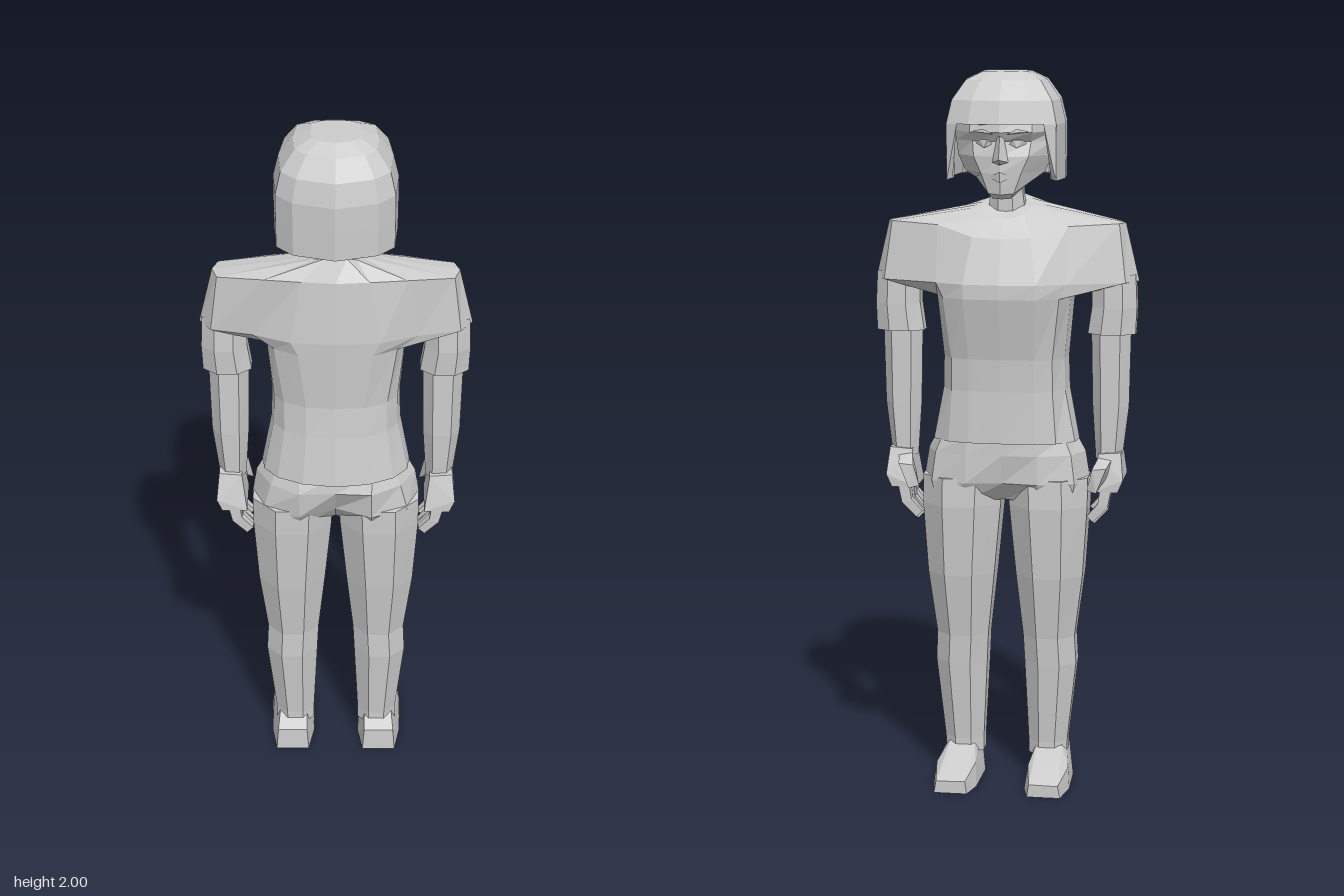
import * as THREE from 'three';
import { ConvexGeometry } from 'three/addons/geometries/ConvexGeometry.js';

const grey = new THREE.MeshStandardMaterial({ color: 0xcccccc, flatShading: true, side: THREE.DoubleSide });
grey.name = 'plain grey';

function addMesh(parent, name, geometry) {
  const mesh = new THREE.Mesh(geometry, grey);
  mesh.name = name;
  parent.add(mesh);
}

// Skin between cross-sections listed bottom to top; each is a loop of [x, y, z]
function loft(rings, { closed = true, bottom = false, top = false } = {}) {
  const n = rings[0].length, pos = rings.flat(2), idx = [];
  for (let r = 0; r < rings.length - 1; r++) {
    for (let i = 0; i < (closed ? n : n - 1); i++) {
      const j = (i + 1) % n, a = r * n, b = a + n;
      idx.push(a + j, a + i, b + i, a + j, b + i, b + j);
    }
  }
  const cap = (r, flip) => {
    const c = pos.length / 3;
    for (let k = 0; k < 3; k++) pos.push(rings[r].reduce((s, p) => s + p[k], 0) / n);
    for (let i = 0; i < n; i++) {
      const a = r * n + i, b = r * n + (i + 1) % n;
      idx.push(c, flip ? a : b, flip ? b : a);
    }
  };
  if (bottom) cap(0, true);
  if (top) cap(rings.length - 1, false);
  const g = new THREE.BufferGeometry();
  g.setAttribute('position', new THREE.Float32BufferAttribute(pos, 3));
  g.setIndex(idx);
  const flat = g.toNonIndexed();
  flat.computeVertexNormals();
  return flat;
}

// Half outline from face side to back, completed by mirroring in x
const mirror = half => [...half, ...half.slice(1, -1).reverse().map(([x, y, z]) => [-x, y, z])];
const level = (y, half) => mirror(half.map(([x, z]) => [x, y, z]));

// Eight-sided limb section with flat sides
function oval(y, cx, rx, cz, rz, n = 8) {
  const k = 1 / Math.cos(Math.PI / n);
  return Array.from({ length: n }, (_, i) => {
    const a = (i + 0.5) / n * Math.PI * 2 - Math.PI / 2;
    return [cx + Math.cos(a) * rx * k, y, cz + Math.sin(a) * rz * k];
  });
}
const hull = (pts, s = 1) => new ConvexGeometry(pts.map(([x, y, z]) => new THREE.Vector3(x * s, y, z)));

function addShirt(g) {
  const rings = [
    level(0.985, [[0, -.106], [.09, -.103], [.15, -.085], [.198, -.04], [.205, .015], [.198, .07], [.16, .115], [.09, .148], [0, .16]]),
    level(1.13, [[0, -.107], [.09, -.1], [.14, -.085], [.17, -.04], [.178, .015], [.17, .06], [.14, .1], [.08, .13], [0, .137]]),
    level(1.22, [[0, -.113], [.09, -.107], [.14, -.09], [.168, -.04], [.175, .015], [.168, .06], [.14, .095], [.08, .122], [0, .128]]),
    level(1.39, [[0, -.15], [.1, -.143], [.16, -.11], [.185, -.05], [.19, .015], [.185, .06], [.165, .095], [.1, .13], [0, .138]]),
    level(1.43, [[0, -.149], [.1, -.143], [.18, -.105], [.335, -.045], [.368, .015], [.335, .065], [.22, .09], [.12, .13], [0, .14]]),
    mirror([[0, 1.55, -.105], [.08, 1.555, -.1], [.18, 1.585, -.07], [.315, 1.59, -.025], [.33, 1.59, .015], [.315, 1.59, .06],
      [.19, 1.605, .1], [.09, 1.61, .12], [0, 1.61, .128]]),
    mirror([[0, 1.6, -.065], [.03, 1.605, -.06], [.055, 1.615, -.04], [.07, 1.63, -.01], [.075, 1.635, .01], [.07, 1.64, .04],
      [.055, 1.65, .07], [.03, 1.663, .09], [0, 1.667, .1]]),
  ];
  addMesh(g, 'shirt', loft(rings, { bottom: true, top: true }));
}

function addTrousers(g) {
  addMesh(g, 'hips', loft([
    level(.815, [[0, -.035], [.1, -.07], [.19, -.06], [.215, .02], [.19, .09], [.1, .11], [0, .055]]),
    level(.87, [[0, -.085], [.1, -.1], [.2, -.07], [.235, .02], [.2, .1], [.1, .143], [0, .1]]),
    level(.95, [[0, -.1], [.1, -.098], [.19, -.065], [.222, .02], [.18, .1], [.1, .15], [0, .145]]),
    level(1.0, [[0, -.1], [.1, -.095], [.17, -.06], [.195, .02], [.16, .09], [.1, .13], [0, .14]]),
  ], { bottom: true, top: true }));
  for (const s of [1, -1]) {
    addMesh(g, s > 0 ? 'leftLeg' : 'rightLeg', loft([
      oval(.07, s * .12, .055, .025, .055), oval(.11, s * .12, .055, .025, .055),
      oval(.34, s * .127, .073, .026, .075), oval(.42, s * .123, .073, .022, .077),
      oval(.6, s * .125, .094, .018, .1), oval(.8, s * .122, .11, .018, .113),
      oval(.88, s * .12, .112, .02, .112),
    ], { bottom: true, top: true }));
  }
}

function addFoot(g, s) {
  addMesh(g, s > 0 ? 'leftShoe' : 'rightShoe', hull([
    // sole
    [.08, 0, .115], [.175, 0, .115], [.065, 0, .03], [.19, 0, .03], [.068, 0, -.12], [.194, 0, -.1], [.085, 0, -.19], [.178, 0, -.19],
    // upper
    [.085, .07, .112], [.17, .07, .112], [.075, .06, -.09], [.188, .055, -.08], [.09, .036, -.19], [.172, .034, -.19],
    [.085, .1, .06], [.165, .1, .06], [.09, .1, -.01], [.16, .1, -.01], [.1, .065, -.11], [.155, .065, -.11],
  ], s));
}

function addArm(g, s) {
  const arm = new THREE.Group();
  arm.name = s > 0 ? 'leftArm' : 'rightArm';
  g.add(arm);
  addMesh(arm, 'sleeve', loft([
    oval(1.285, s * .295, .066, .008, .052), oval(1.36, s * .302, .062, .01, .054), oval(1.45, s * .3, .06, .01, .05),
  ], { bottom: true }));
  addMesh(arm, 'forearm', loft([
    oval(.93, s * .288, .032, .01, .032, 6), oval(1.08, s * .292, .044, .012, .037, 6), oval(1.3, s * .292, .048, .01, .036, 6),
  ], { bottom: true, top: true }));
  addMesh(arm, 'palm', hull([
    [.262, .95, -.03], [.325, .955, -.03], [.262, .95, .055], [.325, .955, .055],
    [.248, .845, -.05], [.318, .845, -.05], [.248, .845, .078], [.318, .845, .078],
    [.333, .88, -.052], [.333, .88, .078],
  ], s));
  // Four curled fingers
  for (let i = 0; i < 4; i++) {
    const z = -.033 + i * .032, d = .0135, drop = [0.01, 0, .004, .018][i];
    addMesh(arm, 'finger', hull([-d, d].flatMap(o => [[.27, .86, z + o], [.302, .86, z + o], [.262, .795 + drop, z + o], [.29, .79 + drop, z + o]]), s));
    addMesh(arm, 'fingertip', hull([-d, d].flatMap(o => [[.262, .8 + drop, z + o], [.29, .79 + drop, z + o], [.232, .765 + drop, z + o * .7], [.25, .748 + drop, z + o * .7]]), s));
  }
  addMesh(arm, 'thumb', hull([
    [.262, .94, -.03], [.3, .935, -.03], [.25, .89, -.035], [.29, .89, -.035],
    [.25, .915, -.085], [.29, .92, -.09], [.235, .855, -.075], [.262, .85, -.09],
  ], s));
}

function addHead(g) {
  addMesh(g, 'neck', loft([oval(1.58, 0, .055, .03, .05), oval(1.67, 0, .045, .025, .046), oval(1.76, 0, .05, .02, .048)], {}));
  addMesh(g, 'face', loft([
    mirror([[0, 1.658, -.088], [.025, 1.66, -.083], [.05, 1.695, -.03], [.05, 1.71, .05], [0, 1.71, .06]]),
    mirror([[0, 1.672, -.114], [.035, 1.675, -.102], [.08, 1.712, -.02], [.08, 1.725, .06], [0, 1.725, .09]]),
    level(1.73, [[0, -.12], [.055, -.102], [.11, -.02], [.1, .07], [0, .12]]),
    level(1.775, [[0, -.118], [.075, -.1], [.13, -.02], [.11, .08], [0, .14]]),
    level(1.815, [[0, -.11], [.08, -.085], [.135, -.02], [.12, .08], [0, .15]]),
    level(1.84, [[0, -.125], [.085, -.105], [.137, -.02], [.12, .08], [0, .15]]),
    level(1.9, [[0, -.115], [.085, -.09], [.13, -.02], [.11, .08], [0, .14]]),
  ], { bottom: true, top: true }));
  addMesh(g, 'nose', hull([[0, 1.83, -.125], [.01, 1.825, -.11], [-.01, 1.825, -.11], [0, 1.768, -.147], [.022, 1.76, -.115], [-.022, 1.76, -.115], [0, 1.753, -.125]]));
  addMesh(g, 'lips', hull([[.032, 1.72, -.108], [-.032, 1.72, -.108], [0, 1.735, -.13], [0, 1.705, -.128], [0, 1.72, -.1]]));
  for (const s of [1, -1]) {
    addMesh(g, 'eye', hull([[.022, 1.808, -.104], [.07, 1.81, -.09], [.035, 1.82, -.11], [.058, 1.82, -.103], [.045, 1.798, -.108], [.045, 1.81, -.09]], s));
    addMesh(g, 'eyebrow', hull([[.018, 1.835, -.125], [.045, 1.85, -.123], [.085, 1.842, -.106], [.045, 1.84, -.124], [.045, 1.84, -.1]], s));
  }
}

function addHair(g) {
  const outline = [[0, -.143], [.085, -.135], [.15, -.1], [.164, 0], [.155, .11], [.11, .155], [0, .185]];
  const scaled = (y, k) => level(y, outline.map(([x, z]) => [x * k, .025 + (z - .025) * k]));
  addMesh(g, 'hairCrown', loft([scaled(1.86, .84), scaled(1.862, 1), scaled(1.925, .91), scaled(1.978, .68), scaled(2, .4)], { top: true }));
  // Bob running round the sides and back, open at the face
  const half = outline.slice(2);
  const sweep = (y, k) => [...half, ...half.slice(0, -1).reverse().map(([x, z]) => [-x, z])]
    .map(([x, z]) => [x * k, y, .025 + (z - .025) * k]);
  addMesh(g, 'hairBob', loft([sweep(1.86, .86), sweep(1.715, .88), sweep(1.71, .995), sweep(1.79, 1), sweep(1.862, 1)], { closed: false }));
  // Front corners joining bob and fringe
  for (const s of [1, -1]) {
    addMesh(g, 'hairFrontEdge', hull([[.149, 1.71, -.1], [.135, 1.715, -.085], [.15, 1.862, -.1], [.13, 1.862, -.085], [.118, 1.862, -.118], [.14, 1.8, -.105]], s));
  }
}

export function createModel() {
  const model = new THREE.Group();
  model.name = 'standingFigure';
  addShirt(model);
  addTrousers(model);
  for (const s of [1, -1]) {
    addFoot(model, s);
    addArm(model, s);
  }
  addHead(model);
  addHair(model);
  return model;
}
